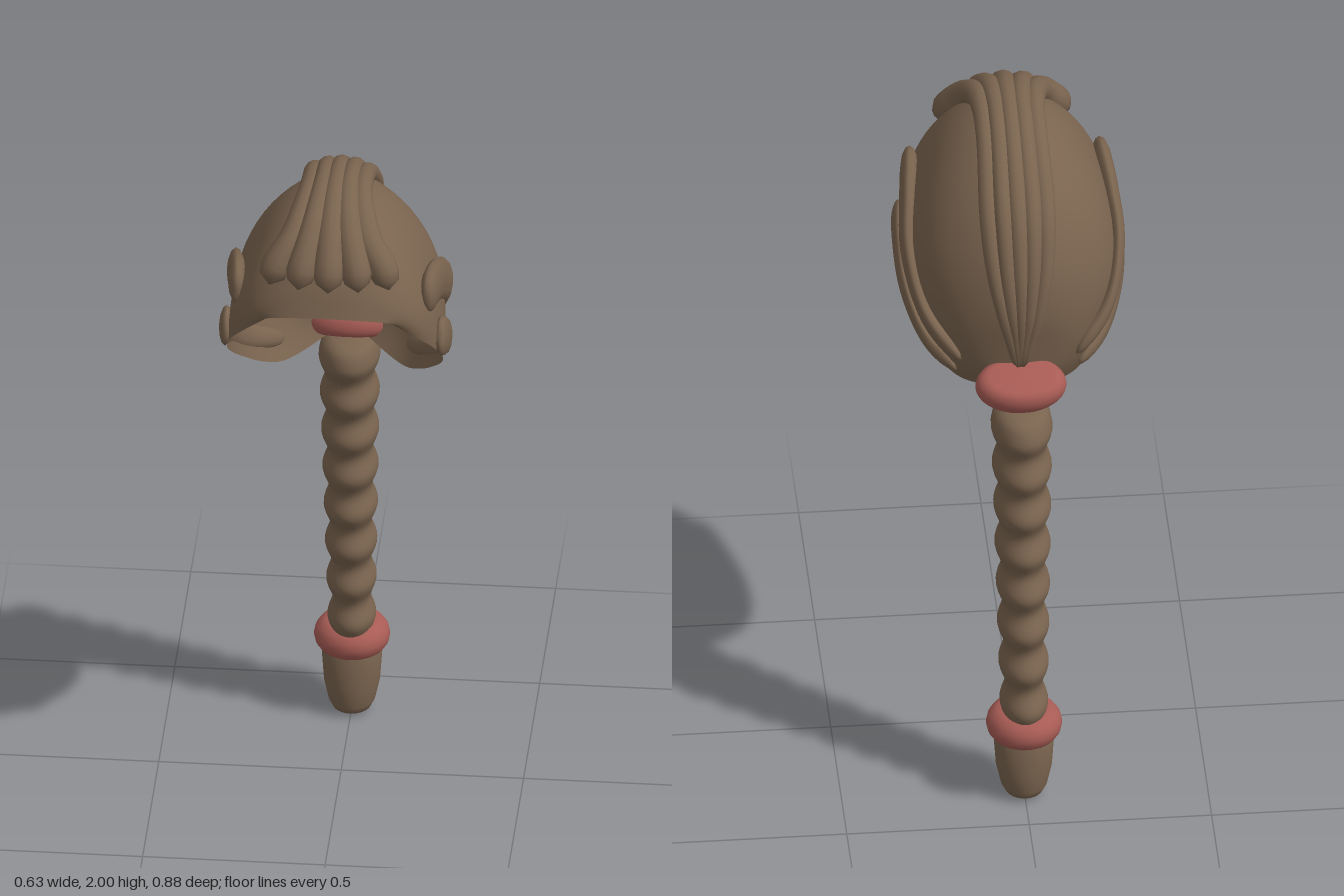
import * as THREE from 'three';
import { mergeVertices } from 'three/addons/utils/BufferGeometryUtils.js';

const V = (x, y, z) => new THREE.Vector3(x, y, z);

export function createModel() {
  const model = new THREE.Group();
  model.name = 'braidedHair';
  const hair = new THREE.MeshStandardMaterial({ color: 0x7a644f, side: THREE.DoubleSide });
  hair.name = 'brown hair';
  const tie = new THREE.MeshStandardMaterial({ color: 0xa85c55 });
  tie.name = 'red hair tie';

  const add = (name, geometry, material) => {
    const mesh = new THREE.Mesh(geometry, material);
    mesh.name = name;
    model.add(mesh);
    return mesh;
  };
  const smooth = (g) => {
    g.deleteAttribute('uv');
    g.deleteAttribute('normal');
    const merged = mergeVertices(g, 1e-5);
    merged.computeVertexNormals();
    return merged;
  };
  // Apply a rule to every vertex
  const bend = (g, rule) => {
    const p = g.attributes.position, v = V(0, 0, 0);
    for (let i = 0; i < p.count; i++) {
      rule(v.fromBufferAttribute(p, i), i);
      p.setXYZ(i, v.x, v.y, v.z);
    }
    return smooth(g);
  };
  const lathe = (points, sides = 28) =>
    new THREE.LatheGeometry(points.map(([r, y]) => new THREE.Vector2(r, y)), sides);

  // Scalp cap: arches from the forehead to the tail, each with a crown point and a rim point
  const crown = new THREE.CatmullRomCurve3([
    [1.705, 0.425], [1.795, 0.39], [1.89, 0.325], [1.955, 0.2], [1.945, 0.05], [1.855, -0.1],
    [1.70, -0.2], [1.55, -0.232], [1.42, -0.222], [1.33, -0.212],
  ].map(([y, z]) => V(0, y, z)));
  const rim = new THREE.CatmullRomCurve3([
    [0.175, 1.67, 0.38], [0.24, 1.605, 0.34], [0.28, 1.54, 0.28], [0.295, 1.465, 0.2], [0.287, 1.4, 0.12],
    [0.262, 1.335, 0.035], [0.22, 1.28, -0.035], [0.17, 1.247, -0.095], [0.12, 1.25, -0.145], [0.05, 1.28, -0.2],
  ].map((p) => V(...p)));
  const capPoint = (u, angle) => {
    const t = crown.getPoint(u), e = rim.getPoint(u);
    const bulge = 1 + 0.28 * THREE.MathUtils.smoothstep(u, 0.3, 0.65) * Math.abs(Math.sin(2 * angle));
    const s = Math.sin(angle);
    return V(e.x * Math.cos(angle) * bulge, e.y + (t.y - e.y) * s, e.z + (t.z - e.z) * s);
  };
  const NU = 36, NA = 40, pos = [], idx = [];
  for (let i = 0; i <= NU; i++) {
    for (let j = 0; j <= NA; j++) {
      pos.push(...capPoint(i / NU, (j / NA) * Math.PI).toArray());
      if (i < NU && j < NA) {
        const a = i * (NA + 1) + j, b = a + NA + 1;
        idx.push(a, b, a + 1, b, b + 1, a + 1);
      }
    }
  }
  const cap = new THREE.BufferGeometry();
  cap.setAttribute('position', new THREE.Float32BufferAttribute(pos, 3));
  cap.setIndex(idx);
  cap.computeVertexNormals();
  add('scalpCap', cap, hair);

  // Tapered lock of hair with rounded ends
  const lock = (points, radius, flatX, round) => {
    const curve = new THREE.CatmullRomCurve3(points), n = 48, sides = 12;
    return bend(new THREE.TubeGeometry(curve, n, 1, sides), (v, i) => {
      const t = Math.floor(i / (sides + 1)) / n, c = curve.getPointAt(t);
      const q = Math.min(1, t / round, (1 - t) / round);
      v.sub(c).multiplyScalar(radius(t) * Math.sqrt(Math.max(0, 1 - (1 - q) ** 2)));
      v.x *= flatX;
      v.add(c);
    });
  };

  // Five locks running from the fringe over the crown to the tail: [place, sideways spread, setback]
  const spread = [
    [0.085, 1, 0.015], [0.15, 0.9, 0.01], [0.24, 0.64, 0], [0.33, 0.46, 0], [0.45, 0.43, 0],
    [0.58, 0.47, 0], [0.68, 0.42, 0], [0.78, 0.28, 0], [0.88, 0.13, 0], [0.97, 0.05, 0],
  ];
  for (let k = -2; k <= 2; k++) {
    const points = spread.map(([place, f, setback]) => {
      const u = place + setback * k * k, x = k * 0.082 * f;
      const p = capPoint(u, Math.acos(x / rim.getPoint(u).x));
      const t = crown.getTangent(u);
      return p.setX(x).add(V(0, -t.z, t.y).multiplyScalar(0.015));
    });
    add('crownLock', lock(points, (t) => 0.046 - 0.018 * Math.min(1, t / 0.32) - 0.014 * Math.max(0, (t - 0.6) / 0.4), 1, 0.06), hair);
  }

  // Two broad swept locks on each side, lying on the cap
  const swept = (name, s, path, start, end, flat) => {
    const points = path.map(([u, angle]) => {
      const p = capPoint(u, angle);
      return V(s * (p.x + 0.006), p.y, p.z);
    });
    add(name, lock(points, (t) => start + (end - start) * t, flat, 0.12), hair);
  };
  for (const s of [1, -1]) {
    swept('upperSideLock', s, [[0.222, 0.47], [0.32, 0.49], [0.41, 0.48], [0.52, 0.45], [0.66, 0.44], [0.85, 0.5]], 0.072, 0.03, 0.38);
    swept('lowerSideLock', s, [[0.25, 0.14], [0.355, 0.14], [0.51, 0.14], [0.66, 0.15], [0.83, 0.2]], 0.06, 0.025, 0.33);
  }

  // Upper tie: a tilted, rounded cushion around the gathered tail
  const cushion = [[0.0001, -0.044]];
  for (let i = 0; i <= 12; i++) {
    const a = (i / 12 - 0.5) * Math.PI;
    cushion.push([0.084 + 0.041 * Math.cos(a), 0.041 * Math.sin(a)]);
  }
  cushion.push([0.0001, 0.046]);
  const upperTie = add('upperTie', smooth(lathe(cushion, 40)), tie);
  upperTie.scale.z = 0.66;
  upperTie.rotation.x = -0.36;
  upperTie.position.set(0, 1.303, -0.241);

  // Lower tie
  const lowerTie = add('lowerTie', new THREE.TorusGeometry(0.056, 0.048, 16, 40).rotateX(Math.PI / 2), tie);
  lowerTie.position.set(0, 0.24, -0.34);

  // Braid: rippled oval column leaning back toward its lower end
  const column = [[0.0001, 0.25]];
  for (let i = 0; i <= 96; i++) {
    const y = 0.25 + (0.95 * i) / 96;
    const ripple = 0.011 * Math.cos(((y - 1.185) / 0.125) * Math.PI * 2);
    column.push([0.082 + 0.028 * ((y - 0.25) / 0.95) + ripple, y]);
  }
  column.push([0.112, 1.222], [0.098, 1.24], [0.07, 1.25], [0.0001, 1.256]);
  add('braid', bend(lathe(column), (v) => {
    v.x *= 0.7;
    v.z += -0.26 - 0.08 * (1.2 - v.y);
  }), hair);

  // Loose end below the lower tie
  const tip = [[0.0001, 0.006], [0.035, 0.008], [0.053, 0.018], [0.064, 0.04], [0.077, 0.1], [0.084, 0.2], [0.06, 0.24], [0.0001, 0.25]];
  add('braidTip', bend(lathe(tip), (v) => {
    v.z = v.z * (1.15 - 1.8 * v.y) - 0.336;
  }), hair);

  return model;
}
